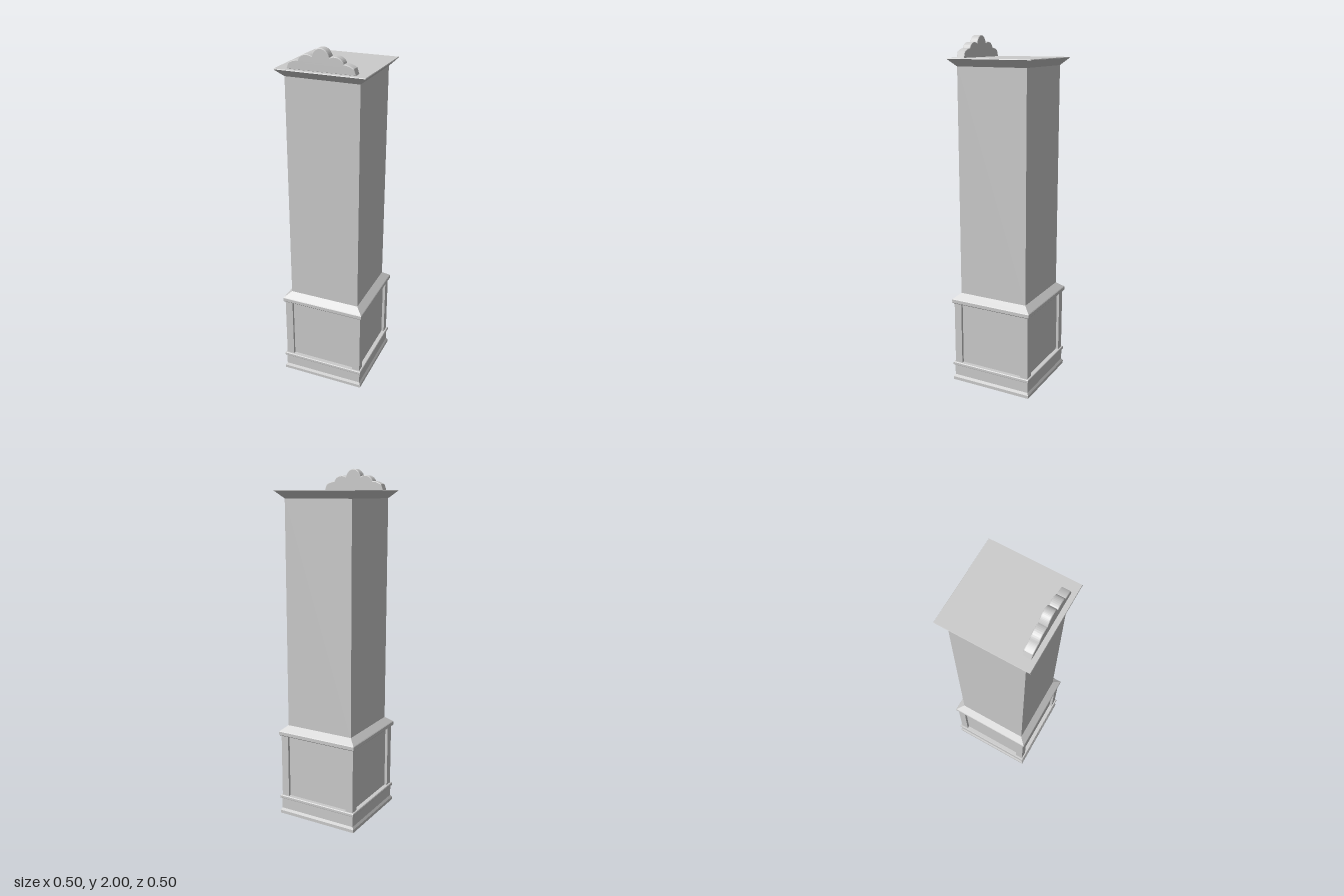
import * as THREE from 'three';

const material = new THREE.MeshStandardMaterial({ color: 0xcccccc, flatShading: true });

function addMesh(parent, name, geometry) {
  const mesh = new THREE.Mesh(geometry, material);
  mesh.name = name;
  parent.add(mesh);
  return mesh;
}

// Square moulding: sweeps [half width, height] pairs around four sides, closed at both ends.
function squareProfile(pairs) {
  const points = pairs.map(([half, y]) => new THREE.Vector2(half * Math.SQRT2, y));
  points.unshift(new THREE.Vector2(0, pairs[0][1]));
  points.push(new THREE.Vector2(0, pairs[pairs.length - 1][1]));
  return new THREE.LatheGeometry(points, 4, Math.PI / 4);
}

// Half outline of the scalloped crest, mirrored about x = 0.
function crestGeometry() {
  const bottom = 1.88;
  const shape = new THREE.Shape();
  shape.moveTo(-0.19, bottom);
  shape.lineTo(0.19, bottom);
  shape.lineTo(0.178, 1.914);
  shape.bezierCurveTo(0.165, 1.923, 0.142, 1.932, 0.125, 1.931);
  shape.bezierCurveTo(0.115, 1.962, 0.075, 1.972, 0.048, 1.957);
  shape.bezierCurveTo(0.04, 1.985, 0.02, 2.0, 0, 2.0);
  shape.bezierCurveTo(-0.02, 2.0, -0.04, 1.985, -0.048, 1.957);
  shape.bezierCurveTo(-0.075, 1.972, -0.115, 1.962, -0.125, 1.931);
  shape.bezierCurveTo(-0.142, 1.932, -0.165, 1.923, -0.178, 1.914);
  shape.closePath();
  const bevel = 0.004;
  const geometry = new THREE.ExtrudeGeometry(shape, {
    depth: 0.048 - 2 * bevel, curveSegments: 10,
    bevelEnabled: true, bevelThickness: bevel, bevelSize: bevel, bevelOffset: -bevel, bevelSegments: 2,
  });
  return geometry.translate(0, 0, 0.175 + bevel);
}

export function createModel() {
  const model = new THREE.Group();
  model.name = 'pedestalColumn';

  // Skirting with a stepped foot and a top bead
  addMesh(model, 'baseMoulding', squareProfile([
    [0.248, 0], [0.248, 0.018], [0.244, 0.025], [0.24, 0.032], [0.24, 0.095],
    [0.247, 0.097], [0.248, 0.1], [0.248, 0.112], [0.245, 0.116],
  ]));

  // Recessed panels between four corner posts
  addMesh(model, 'panelCore', squareProfile([[0.222, 0.11], [0.222, 0.495]]));
  const postWidth = 0.045;
  for (const sx of [-1, 1]) {
    for (const sz of [-1, 1]) {
      const post = addMesh(model, 'cornerPost', new THREE.BoxGeometry(postWidth, 0.385, postWidth));
      post.position.set(sx * (0.238 - postWidth / 2), 0.3025, sz * (0.238 - postWidth / 2));
    }
  }

  // Ledge sloping in to the shaft
  addMesh(model, 'pedestalCap', squareProfile([
    [0.245, 0.489], [0.248, 0.493], [0.248, 0.512], [0.245, 0.516], [0.208, 0.547],
  ]));

  addMesh(model, 'shaft', squareProfile([[0.208, 0.54], [0.208, 1.845]]));

  // Flared top
  addMesh(model, 'cornice', squareProfile([
    [0.208, 1.838], [0.247, 1.876], [0.25, 1.878], [0.248, 1.882],
  ]));

  addMesh(model, 'crest', crestGeometry());
  return model;
}
